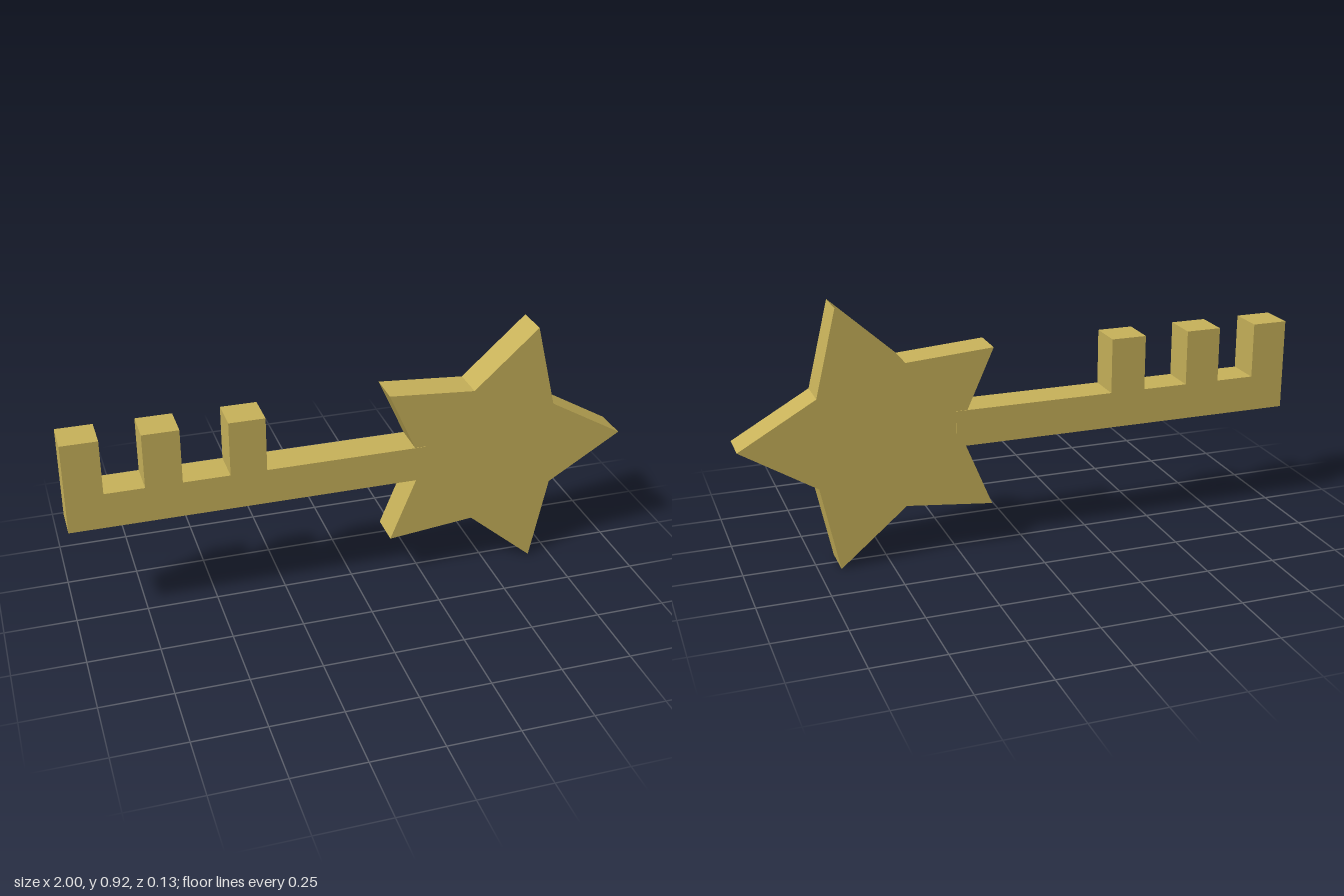
import * as THREE from 'three';

const gold = new THREE.MeshStandardMaterial({ color: 0xc8b25a, flatShading: true });

// Flat plate of the given outline, centred on z = 0
function plate(name, points, depth) {
  const shape = new THREE.Shape(points.map(([x, y]) => new THREE.Vector2(x, y)));
  const geometry = new THREE.ExtrudeGeometry(shape, { depth, bevelEnabled: false });
  geometry.translate(0, 0, -depth / 2);
  const mesh = new THREE.Mesh(geometry, gold);
  mesh.name = name;
  return mesh;
}

export function createModel() {
  const key = new THREE.Group();
  key.name = 'starKey';

  // Star-shaped bow, turned slightly off axis
  const star = [];
  for (let i = 0; i < 10; i++) {
    const angle = THREE.MathUtils.degToRad(1 + i * 36);
    const radius = i % 2 ? 0.27 : 0.485;
    star.push([0.515 + radius * Math.cos(angle), 0.46 + radius * Math.sin(angle)]);
  }
  key.add(plate('starBow', star, 0.124));

  // Shaft with three square teeth, a little thicker than the star
  const bottom = 0.396, top = 0.525, toothTop = 0.722;
  const outline = [[-1, bottom], [0.255, bottom], [0.255, top]];
  for (const [left, right] of [[-0.445, -0.318], [-0.735, -0.608], [-1, -0.873]]) {
    outline.push([right, top], [right, toothTop], [left, toothTop]);
    if (left > -1) outline.push([left, top]);
  }
  key.add(plate('toothedShaft', outline, 0.128));

  return key;
}
